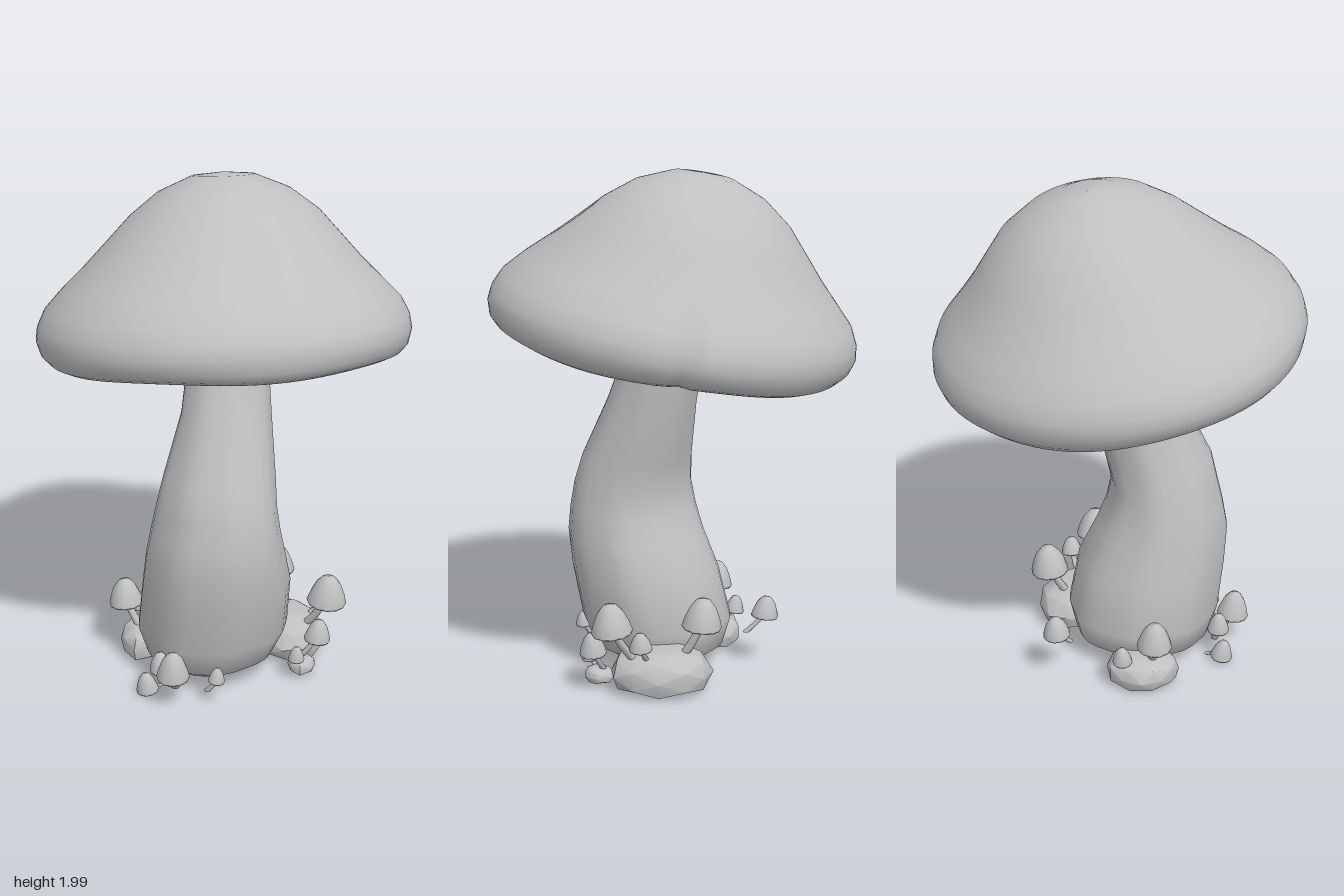
import * as THREE from 'three';
import { toCreasedNormals } from 'three/addons/utils/BufferGeometryUtils.js';

const grey = new THREE.MeshStandardMaterial({ color: 0xc0c0c0 });
grey.name = 'plain grey';

// Closed skin over rings of points; rows run bottom to top on the outside
function skin(rows, segs, point) {
  const pos = [], idx = [];
  for (let i = 0; i < rows; i++) {
    for (let j = 0; j < segs; j++) {
      pos.push(...point(i, (j / segs) * Math.PI * 2));
      if (i === rows - 1) continue;
      const k = (j + 1) % segs;
      const a = i * segs + j, b = a + segs, c = i * segs + k, d = c + segs;
      idx.push(a, b, c, c, b, d);
    }
  }
  const g = new THREE.BufferGeometry();
  g.setAttribute('position', new THREE.Float32BufferAttribute(pos, 3));
  g.setIndex(idx);
  g.computeVertexNormals();
  return g;
}

function part(name, geometry, parent) {
  const m = new THREE.Mesh(geometry, grey);
  m.name = name;
  parent.add(m);
  return m;
}

// Big cap: folded underside, rolled lip, bell-shaped top, split in the rim
function makeCap(parent) {
  const profile = [
    [0.001, 0.03], [0.15, 0.035], [0.3, 0.05], [0.45, 0.035], [0.55, -0.005], [0.6, -0.05], [0.625, -0.085],
    [0.645, -0.093], [0.675, -0.08], [0.703, -0.05], [0.717, 0.0], [0.71, 0.05], [0.68, 0.112],
    [0.61, 0.186], [0.53, 0.265], [0.45, 0.352], [0.36, 0.45], [0.25, 0.535], [0.12, 0.59], [0.001, 0.601],
  ];
  const crackAngle = Math.atan2(-0.6, 0.36);
  const geometry = skin(profile.length, 96, (i, t) => {
    let [r, h] = profile[i];
    // soft folds under the cap
    if (i > 1 && i < 6) h += 0.02 * Math.sin(t * 7 + Math.sin(t * 2) + i * 0.5);
    // gently wavy lip
    if (i > 5 && i < 10) h += 0.005 * Math.sin(t * 5 + 1);
    // split in the rim
    const off = Math.abs(Math.atan2(Math.sin(t - crackAngle), Math.cos(t - crackAngle)));
    if (i > 6 && i < 13) r -= 0.045 * Math.max(0, 1 - off / 0.06);
    const x = r * Math.cos(t);
    let z = r * Math.sin(t);
    if (i > 13) {
      // shallow dent, and a crown leaning to the back
      h -= 0.01 * Math.max(0, 1 - Math.hypot(x - 0.37, z - 0.27) / 0.08);
      z -= 0.035 * Math.min(1, (h - 0.19) / 0.25);
    }
    return [x, h, z];
  });
  const cap = part('cap', geometry, parent);
  cap.position.y = 1.397;
  cap.quaternion.setFromUnitVectors(
    new THREE.Vector3(0, 1, 0), new THREE.Vector3(-0.12, 1, -0.12).normalize());
}

// Bent stem: y, then the x and z extents of each section
function makeStem(parent) {
  const s = [
    [0.04, 0.0, 0.01, 0.09, 0.1], [0.045, -0.16, 0.18, -0.11, 0.3], [0.09, -0.25, 0.26, -0.18, 0.375],
    [0.2, -0.29, 0.315, -0.207, 0.407], [0.4, -0.25, 0.345, -0.172, 0.425], [0.55, -0.212, 0.348, -0.1, 0.432],
    [0.65, -0.19, 0.338, -0.062, 0.412], [0.75, -0.17, 0.324, -0.042, 0.387], [0.86, -0.15, 0.297, -0.068, 0.362],
    [1.1, -0.12, 0.227, -0.118, 0.247], [1.3, -0.13, 0.183, -0.15, 0.17], [1.46, -0.135, 0.16, -0.17, 0.12],
  ];
  part('stem', skin(s.length, 32, (i, t) => {
    const [y, x0, x1, z0, z1] = s[i];
    // faint lengthwise ridges
    const w = 1 - (i > 1 ? 0.015 * (1 - Math.cos(t * 8)) : 0);
    return [
      (x0 + x1) / 2 + ((x1 - x0) / 2) * w * Math.cos(t), y,
      (z0 + z1) / 2 + ((z1 - z0) / 2) * w * Math.sin(t),
    ];
  }), parent);
}

// Small mushroom: cap top at tip, tapering stalk curving down to foot
function sprout(parent, tip, r, h, foot) {
  const group = new THREE.Group();
  group.name = 'smallMushroom';
  const profile = [[0.01, 0.25], [0.75, 0.12], [0.97, 0], [1, 0.06], [0.87, 0.36], [0.65, 0.7], [0.35, 0.94], [0.01, 1]];
  const cap = part('smallCap', skin(profile.length, 12, (i, t) => [
    profile[i][0] * r * Math.cos(t), (profile[i][1] - 1) * h, profile[i][0] * r * Math.sin(t),
  ]), group);
  const top = new THREE.Vector3(...tip), base = new THREE.Vector3(...foot);
  cap.position.copy(top);
  const lean = top.clone().sub(base).normalize();
  cap.quaternion.setFromUnitVectors(
    new THREE.Vector3(0, 1, 0), new THREE.Vector3(lean.x * 0.25, 1, lean.z * 0.25).normalize());
  const neck = top.clone().setY(top.y - h * 0.6);
  const bend = neck.clone().lerp(base, 0.5);
  bend.x = neck.x * 0.7 + base.x * 0.3;
  bend.z = neck.z * 0.7 + base.z * 0.3;
  const path = new THREE.QuadraticBezierCurve3(base, bend, neck);
  const width = Math.max(0.01, r * 0.2);
  part('smallStalk', skin(7, 8, (i, t) => {
    const u = i / 6, c = path.getPoint(u), w = width * (1.35 - 0.45 * u);
    return [c.x + w * Math.cos(t), c.y, c.z + w * Math.sin(t)];
  }), group);
  parent.add(group);
}

// Faceted stone with a flat foot
function stone(parent, name, x, z, y0, y1, rx, rz, turn) {
  const g = new THREE.IcosahedronGeometry(1, 1);
  const p = g.attributes.position;
  for (let i = 0; i < p.count; i++) {
    const px = p.getX(i), pz = p.getZ(i);
    const py = Math.min(0.75, Math.max(-0.55, p.getY(i)));
    const k = 1 + 0.06 * Math.sin(px * 5 + pz * 3);
    const f = py < -0.5 ? 1.05 : 1;
    p.setXYZ(i, px * rx * k * f, y0 + ((py + 0.55) / 1.3) * (y1 - y0), pz * rz * k * f);
  }
  const m = part(name, toCreasedNormals(g, 0.6), parent);
  m.position.set(x, 0, z);
  m.rotation.y = turn;
}

export function createModel() {
  const model = new THREE.Group();
  model.name = 'mushroom';
  makeCap(model);
  makeStem(model);

  stone(model, 'largeStone', 0.18, -0.18, 0.01, 0.165, 0.2, 0.165, -0.6);
  stone(model, 'sideStone', -0.265, 0.14, 0.01, 0.13, 0.125, 0.145, 0.1);
  stone(model, 'pebble', 0.36, -0.02, 0.02, 0.075, 0.055, 0.06, 0.4);

  // cluster on the large stone
  sprout(model, [0.397, 0.385, -0.165], 0.08, 0.12, [0.29, 0.14, -0.17]);
  sprout(model, [0.06, 0.385, -0.31], 0.078, 0.12, [0.11, 0.14, -0.24]);
  sprout(model, [0.32, 0.28, -0.26], 0.045, 0.07, [0.26, 0.14, -0.22]);
  sprout(model, [0.415, 0.24, -0.06], 0.053, 0.09, [0.33, 0.05, -0.03]);
  sprout(model, [0.37, 0.15, 0.04], 0.033, 0.06, [0.33, 0.04, 0.0]);
  // trio on the other side
  sprout(model, [-0.355, 0.325, 0.2], 0.07, 0.11, [-0.28, 0.1, 0.18]);
  sprout(model, [-0.32, 0.29, -0.205], 0.055, 0.085, [-0.25, 0.14, -0.16]);
  sprout(model, [-0.365, 0.205, 0.07], 0.04, 0.07, [-0.29, 0.09, 0.09]);
  // row along the front
  sprout(model, [0.07, 0.235, 0.475], 0.065, 0.11, [0.03, 0.04, 0.4]);
  sprout(model, [-0.03, 0.185, 0.42], 0.045, 0.08, [0.01, 0.04, 0.4]);
  sprout(model, [0.205, 0.16, 0.365], 0.033, 0.06, [0.16, 0.05, 0.37]);
  sprout(model, [-0.08, 0.09, 0.45], 0.045, 0.08, [-0.06, 0.01, 0.38]);
  return model;
}
